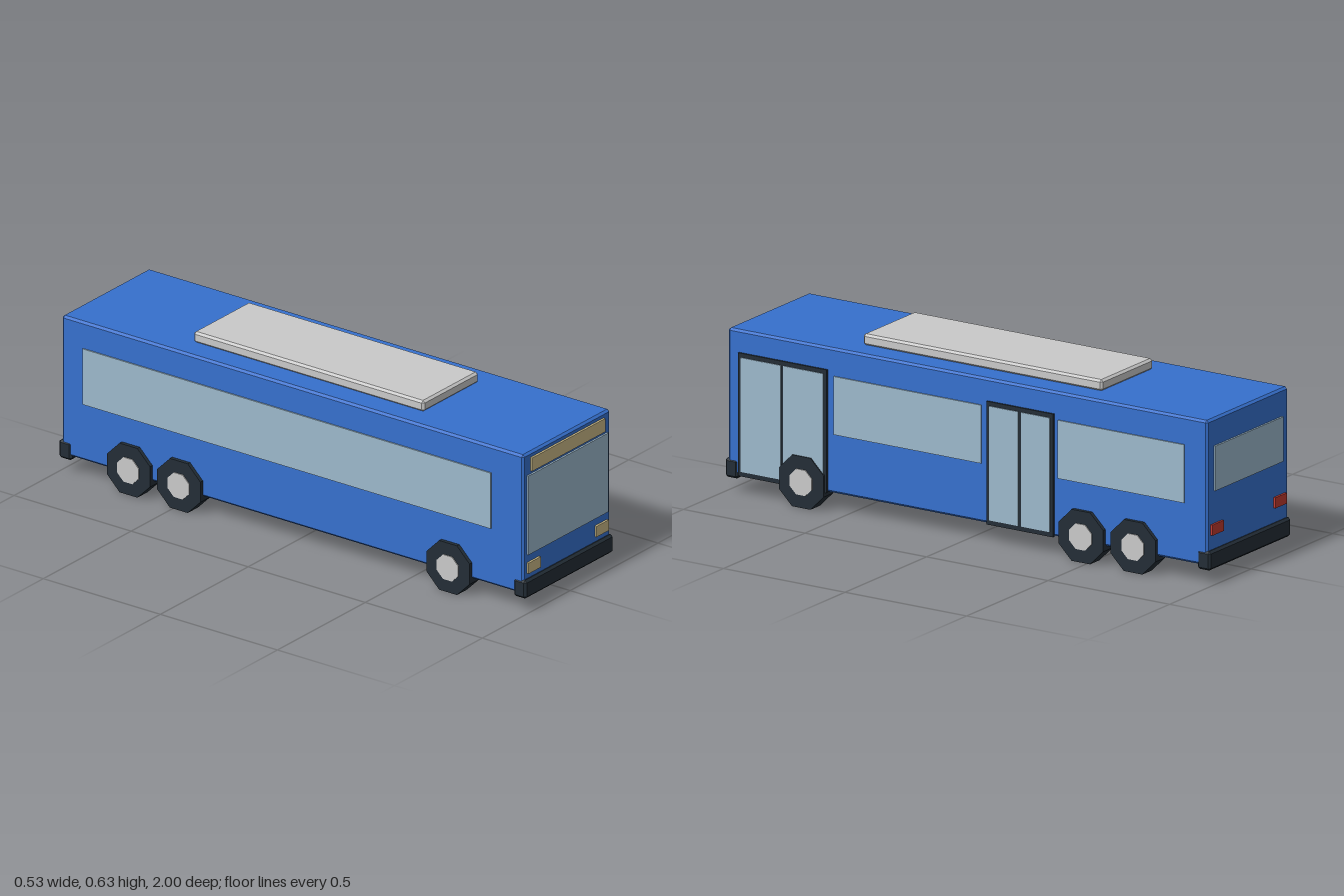
import * as THREE from 'three';
import { ConvexGeometry } from 'three/addons/geometries/ConvexGeometry.js';

const paint = (name, hex) => {
  const m = new THREE.MeshStandardMaterial({ color: hex });
  m.name = name;
  return m;
};

// Box given by its limits on each axis, with all edges chamfered by c
function chamferBox([x0, x1], [y0, y1], [z0, z1], c) {
  const h = [(x1 - x0) / 2, (y1 - y0) / 2, (z1 - z0) / 2];
  const points = [];
  for (const sx of [-1, 1]) for (const sy of [-1, 1]) for (const sz of [-1, 1])
    for (let full = 0; full < 3; full++) {
      const [x, y, z] = h.map((v, i) => (i === full ? v : v - c));
      points.push(new THREE.Vector3(sx * x, sy * y, sz * z));
    }
  return new ConvexGeometry(points).translate((x0 + x1) / 2, (y0 + y1) / 2, (z0 + z1) / 2);
}

// Plain box given by its limits on each axis
function plainBox([x0, x1], [y0, y1], [z0, z1]) {
  return new THREE.BoxGeometry(x1 - x0, y1 - y0, z1 - z0)
    .translate((x0 + x1) / 2, (y0 + y1) / 2, (z0 + z1) / 2);
}

// Faceted eight-sided disc with its axis along x and flats at top and bottom
function octagon(radius, width) {
  const g = new THREE.CylinderGeometry(radius, radius, width, 8)
    .rotateY(Math.PI / 8).rotateZ(Math.PI / 2).toNonIndexed();
  g.computeVertexNormals();
  return g;
}

export function createModel() {
  const blue = paint('body blue', 0x3670cd);
  const glass = paint('window glass', 0x9cb8cb);
  const dark = paint('dark trim', 0x232d36);
  const grey = paint('light grey', 0xc9c9c9);
  const amber = paint('lamp amber', 0xcab987);
  const red = paint('tail red', 0xc0392f);

  const bus = new THREE.Group();
  bus.name = 'bus';
  const add = (name, geometry, material, parent = bus) => {
    const mesh = new THREE.Mesh(geometry, material);
    mesh.name = name;
    parent.add(mesh);
    return mesh;
  };

  // Body shell and roof unit
  add('body', chamferBox([-0.248, 0.248], [0.07, 0.588], [-0.986, 0.986], 0.008), blue);
  add('roofUnit', chamferBox([-0.158, 0.158], [0.586, 0.627], [-0.492, 0.492], 0.008), grey);

  // Bumpers
  add('frontBumper', chamferBox([-0.251, 0.251], [0.054, 0.122], [0.944, 0.998], 0.008), dark);
  add('rearBumper', chamferBox([-0.251, 0.251], [0.054, 0.122], [-0.998, -0.944], 0.008), dark);

  // Front face
  const front = [0.985, 0.993], rear = [-0.993, -0.985];
  add('windshield', plainBox([-0.228, 0.228], [0.212, 0.507], front), glass);
  add('destinationSign', plainBox([-0.208, 0.208], [0.518, 0.568], [0.985, 0.994]), amber);

  // Rear face
  add('rearWindow', plainBox([-0.208, 0.208], [0.33, 0.49], rear), glass);

  // Lamps at both corners of each end
  for (const [side, xs] of [['left', [0.159, 0.228]], ['right', [-0.228, -0.159]]]) {
    add(side + 'Headlight', plainBox(xs, [0.142, 0.182], [0.985, 0.994]), amber);
    add(side + 'TailLight', plainBox(xs, [0.175, 0.213], [-0.994, -0.985]), red);
  }

  // Side windows: two between the doors on the left, one long band on the right
  const windowY = [0.281, 0.489];
  add('leftFrontWindow', plainBox([0.246, 0.253], windowY, [-0.058, 0.548]), glass);
  add('leftRearWindow', plainBox([0.246, 0.253], windowY, [-0.893, -0.374]), glass);
  add('rightWindow', plainBox([-0.253, -0.246], windowY, [-0.893, 0.85]), glass);

  // Double doors, each a dark frame with two glass leaves
  for (const [name, z0, z1] of [['frontDoor', 0.575, 0.94], ['middleDoor', -0.357, -0.082]]) {
    const door = new THREE.Group();
    door.name = name;
    bus.add(door);
    const mid = (z0 + z1) / 2, edge = 0.013, gap = 0.006;
    add('doorFrame', plainBox([0.246, 0.255], [0.068, 0.508], [z0, z1]), dark, door);
    add('rearLeaf', plainBox([0.25, 0.258], [0.085, 0.493], [z0 + edge, mid - gap]), glass, door);
    add('frontLeaf', plainBox([0.25, 0.258], [0.085, 0.493], [mid + gap, z1 - edge]), glass, door);
  }

  // Three axles of wheels
  const tireGeometry = octagon(0.0995, 0.058);
  const hubGeometry = octagon(0.0495, 0.03);
  for (const [axle, z] of [['front', 0.675], ['middle', -0.475], ['rear', -0.69]])
    for (const side of [-1, 1]) {
      const wheel = new THREE.Group();
      wheel.name = axle + (side > 0 ? 'Left' : 'Right') + 'Wheel';
      wheel.position.set(side * 0.233, 0.092, z);
      add('tire', tireGeometry, dark, wheel);
      add('hub', hubGeometry, grey, wheel).position.x = side * 0.0175;
      bus.add(wheel);
    }

  return bus;
}
